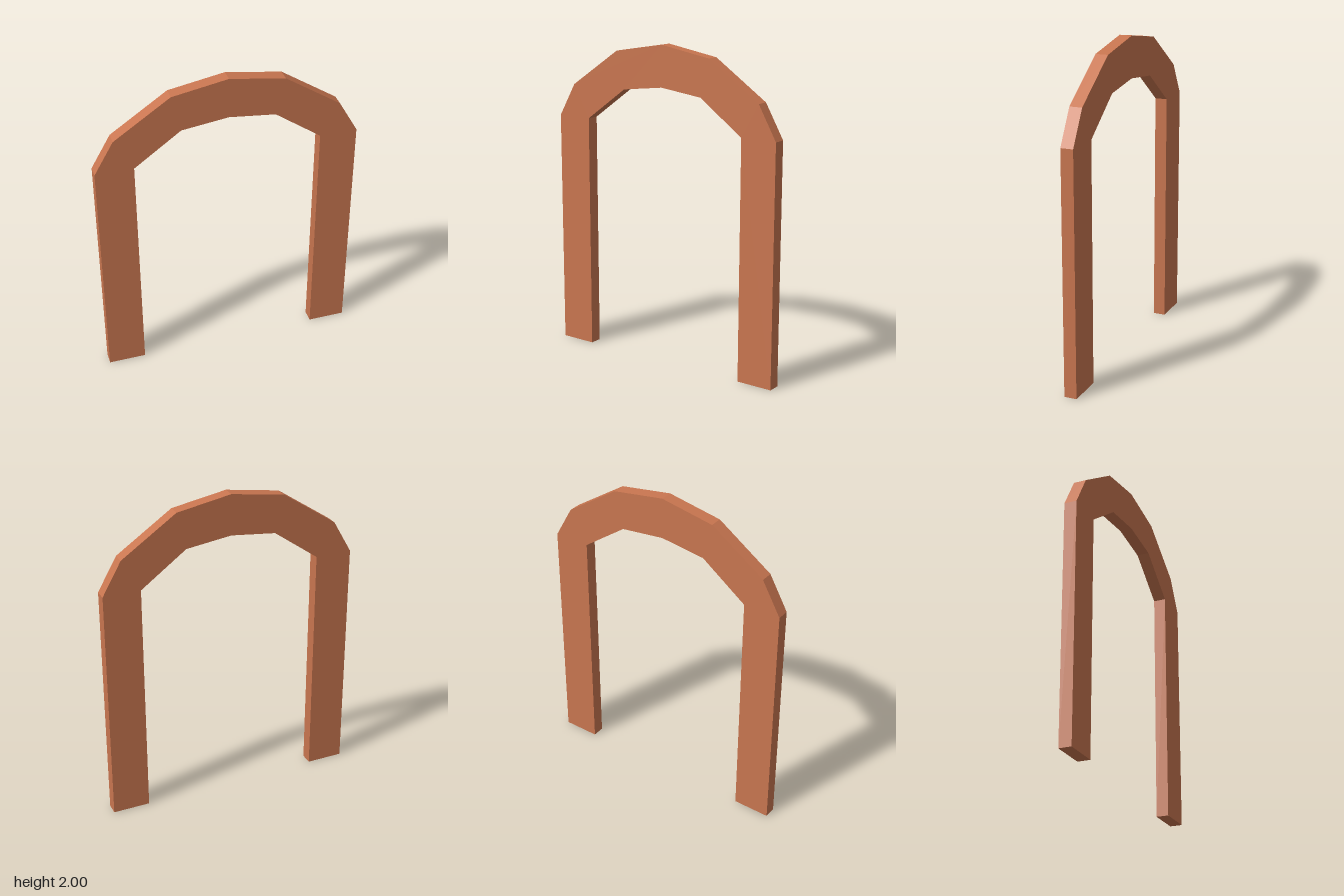
import * as THREE from 'three';

const DEPTH = 0.078;

// Right half of each edge, from the foot up to the crown
const OUTER = [[0.807, 0], [0.807, 1.5], [0.688, 1.708], [0.342, 1.942], [0, 2]];
const INNER = [[0.573, 0], [0.573, 1.5], [0.286, 1.708], [0, 1.743]];

// Mirror a half edge into a full run from +x over the crown to -x
function fullEdge(half) {
  const mirrored = half.slice(0, -1).reverse().map(([x, y]) => [-x, y]);
  return [...half, ...mirrored].map(([x, y]) => new THREE.Vector2(x, y));
}

export function createModel() {
  const model = new THREE.Group();
  model.name = 'archway';

  const terracotta = new THREE.MeshStandardMaterial({ color: 0xc97650 });
  terracotta.name = 'terracotta';

  // Faceted arch frame: outer edge out, inner edge back
  const outline = new THREE.Shape([...fullEdge(OUTER), ...fullEdge(INNER).reverse()]);
  const geometry = new THREE.ExtrudeGeometry(outline, { depth: DEPTH, bevelEnabled: false });
  geometry.translate(0, 0, -DEPTH / 2);

  const frame = new THREE.Mesh(geometry, terracotta);
  frame.name = 'archFrame';
  model.add(frame);
  return model;
}
